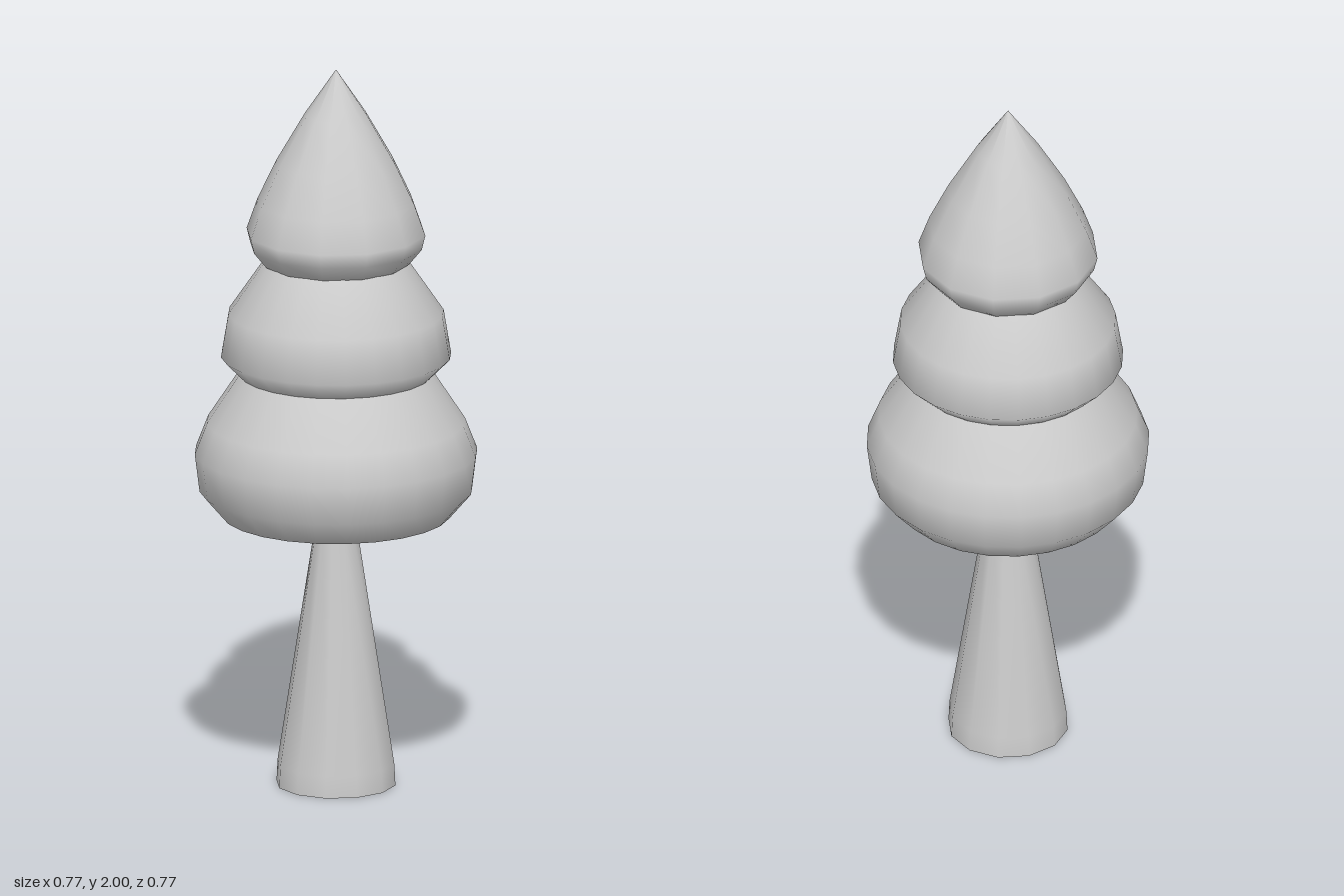
import * as THREE from 'three';

// Smooth lathe from [radius, height] pairs, listed bottom to top
function turned(name, profile, sides, material) {
  const points = profile.map(([r, y]) => new THREE.Vector2(r, y));
  const mesh = new THREE.Mesh(new THREE.LatheGeometry(points, sides), material);
  mesh.name = name;
  return mesh;
}

export function createModel() {
  const tree = new THREE.Group();
  tree.name = 'tree';
  const foliage = new THREE.MeshStandardMaterial({ color: 0xcccccc });
  const bark = new THREE.MeshStandardMaterial({ color: 0xcccccc, side: THREE.DoubleSide });

  // Tapered trunk, open at the foot
  tree.add(turned('trunk', [[0.163, 0], [0.16, 0.06], [0.056, 0.73], [0.05, 0.78]], 12, bark));

  // Three stacked foliage tiers, each tucked into the one above
  tree.add(turned('lowerFoliage', [
    [0, 0.737], [0.235, 0.737], [0.31, 0.755], [0.37, 0.825], [0.383, 0.93],
    [0.35, 1.015], [0.265, 1.145], [0.23, 1.19],
  ], 24, foliage));
  tree.add(turned('middleFoliage', [
    [0.22, 1.145], [0.26, 1.147], [0.312, 1.2], [0.292, 1.32], [0.2, 1.455], [0.17, 1.495],
  ], 24, foliage));
  tree.add(turned('topFoliage', [
    [0.16, 1.458], [0.2, 1.462], [0.235, 1.505], [0.245, 1.545], [0.215, 1.63],
    [0.163, 1.74], [0.085, 1.875], [0, 2],
  ], 12, foliage));

  return tree;
}
